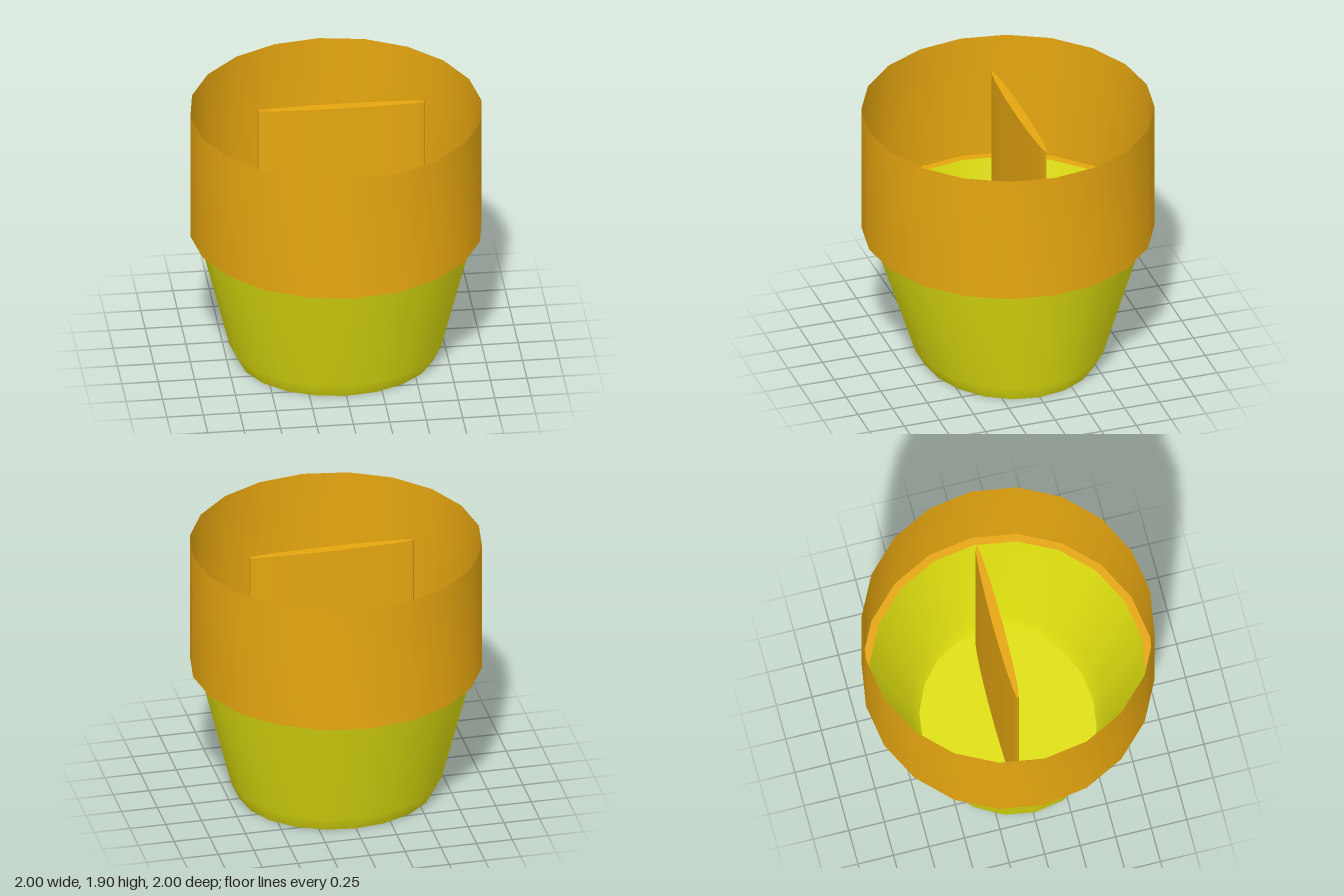
import * as THREE from 'three';
import { mergeVertices } from 'three/addons/utils/BufferGeometryUtils.js';

const SIDES = 20;
const orange = new THREE.MeshStandardMaterial({ color: 0xe6a610, side: THREE.DoubleSide });
const yellow = new THREE.MeshStandardMaterial({ color: 0xe0e010, side: THREE.DoubleSide });

// Smooth surface through elliptical rings [radiusX, radiusZ, y], bottom to top
function ringSurface(rings) {
  const geo = new THREE.LatheGeometry(rings.map(([rx, , y]) => new THREE.Vector2(rx, y)), SIDES);
  const pos = geo.attributes.position;
  for (let i = 0; i < pos.count; i++) {
    const [rx, rz] = rings[i % rings.length];
    if (rx > 0) pos.setZ(i, pos.getZ(i) * rz / rx);
  }
  // weld the seam so the shading runs on around it
  geo.deleteAttribute('uv');
  geo.deleteAttribute('normal');
  const welded = mergeVertices(geo, 1e-4);
  welded.computeVertexNormals();
  return welded;
}

export function createModel() {
  const model = new THREE.Group();
  model.name = 'pot';
  const add = (name, geometry, material) => {
    const mesh = new THREE.Mesh(geometry, material);
    mesh.name = name;
    model.add(mesh);
    return mesh;
  };

  // Tapered lower body: oval at the foot, round at the top
  add('potWall', ringSurface([[0.675, 0.6, 0], [0.73, 0.665, 0.115], [0.945, 0.945, 0.98]]), yellow);
  add('potFloor', ringSurface([[0, 0, 0], [0.675, 0.6, 0]]), yellow);

  // Wide upper band and the step joining it to the body
  add('rimStep', ringSurface([[0.945, 0.945, 0.98], [1, 1, 0.98]]), orange);
  add('rimBand', ringSurface([[1, 1, 0.98], [1, 1, 1.905]]), orange);

  // Thin upright divider standing inside, slightly off centre
  const height = 1.885;
  const divider = add('divider', new THREE.CylinderGeometry(1, 1, height, 32), orange);
  divider.geometry.scale(0.575, 1, 0.034);
  divider.position.set(0.045, height / 2 + 0.005, -0.065);

  return model;
}
